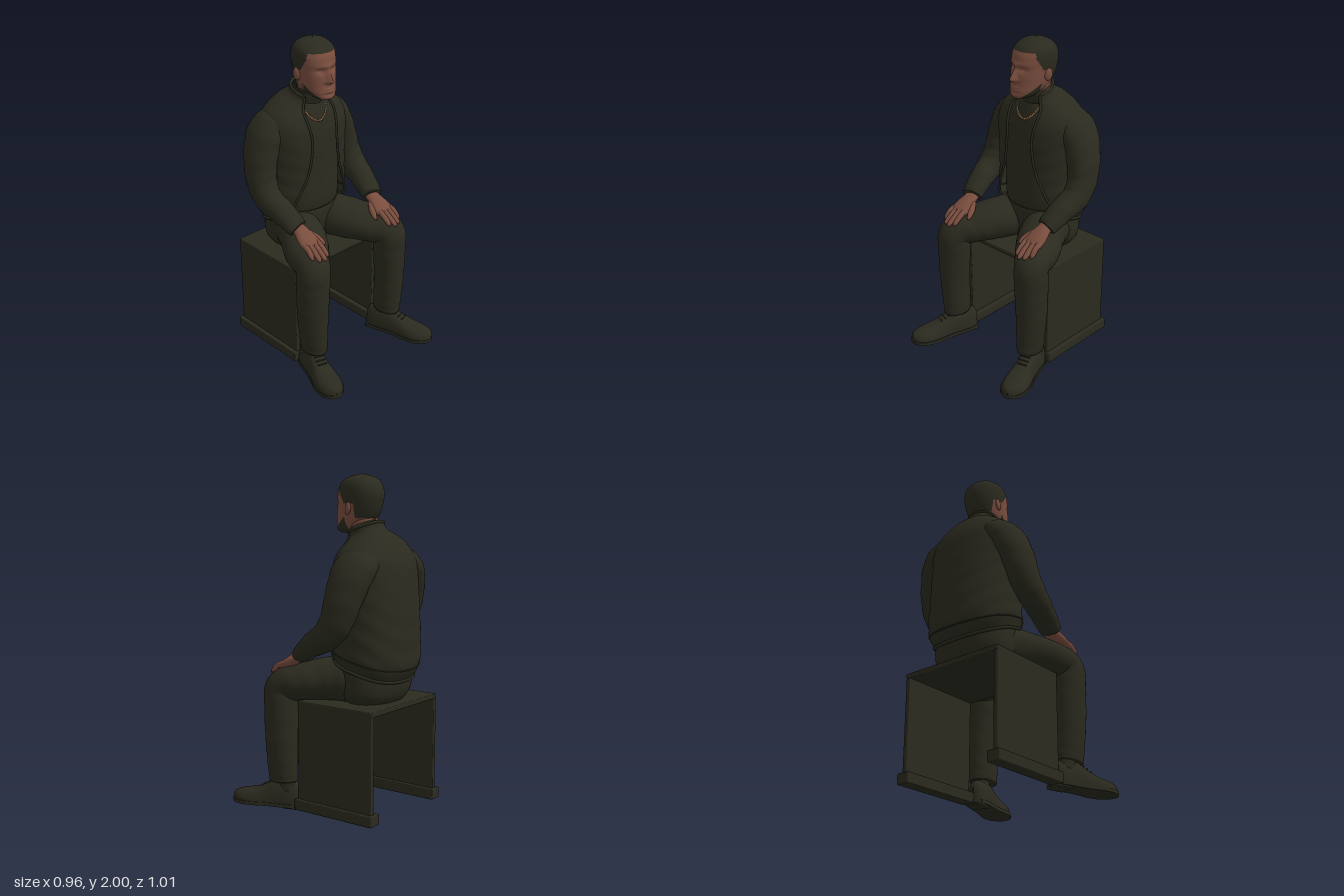
import * as THREE from 'three';
import { mergeGeometries } from 'three/addons/utils/BufferGeometryUtils.js';
import { RoundedBoxGeometry } from 'three/addons/geometries/RoundedBoxGeometry.js';

const mat = (name, color, side = THREE.FrontSide) => {
  const m = new THREE.MeshStandardMaterial({ color, side });
  m.name = name;
  return m;
};

// Smooth interpolation of rows keyed by their first column
function spline(rows) {
  const slope = (i, c) => {
    const a = rows[Math.max(i - 1, 0)], b = rows[Math.min(i + 1, rows.length - 1)];
    return (b[c] - a[c]) / (b[0] - a[0]);
  };
  return k => {
    let i = 0;
    while (i < rows.length - 2 && k > rows[i + 1][0]) i++;
    const a = rows[i], b = rows[i + 1], h = b[0] - a[0];
    const t = Math.min(1, Math.max(0, (k - a[0]) / h)), t2 = t * t, t3 = t2 * t;
    return a.slice(1).map((_, n) => (2 * t3 - 3 * t2 + 1) * a[n + 1] + (t3 - 2 * t2 + t) * h * slope(i, n + 1)
      + (3 * t2 - 2 * t3) * b[n + 1] + (t3 - t2) * h * slope(i + 1, n + 1));
  };
}

// Grid surface; u runs round, v runs along. isSecond picks triangles for material 1
function surface(nu, nv, fn, closed = true, isSecond = null) {
  const cols = closed ? nu : nu + 1, pos = [], first = [], second = [];
  for (let j = 0; j <= nv; j++) for (let i = 0; i < cols; i++) pos.push(...fn(i / nu, j / nv));
  for (let j = 0; j < nv; j++) for (let i = 0; i < nu; i++) {
    const k = (i + 1) % cols, a = j * cols + i, b = j * cols + k, c = b + cols, d = a + cols;
    for (const tri of [[a, b, c], [a, c, d]]) {
      const mid = n => (pos[tri[0] * 3 + n] + pos[tri[1] * 3 + n] + pos[tri[2] * 3 + n]) / 3;
      (isSecond && isSecond(mid(0), mid(1), mid(2)) ? second : first).push(...tri);
    }
  }
  const g = new THREE.BufferGeometry();
  g.setAttribute('position', new THREE.Float32BufferAttribute(pos, 3));
  g.setIndex([...first, ...second]);
  g.addGroup(0, first.length, 0);
  g.addGroup(first.length, second.length, 1);
  g.computeVertexNormals();
  return g;
}

const power = (s, e) => Math.sign(s) * Math.abs(s) ** e;
const oval = (th, front, back, w, e) => [w * power(Math.sin(th), e), (front + back) / 2 + (front - back) / 2 * power(Math.cos(th), e)];

// Upright form from rows of [y, front z, back z, half width], closed at both ends
function upright(rows, e = 0.9, nu = 48, nv = 40) {
  const at = spline(rows), y0 = rows[0][0], y1 = rows[rows.length - 1][0];
  return surface(nu, nv, (u, v) => {
    const t = Math.min(1, Math.max(0, (v * nv - 1) / (nv - 2))), y = y0 + (y1 - y0) * t;
    const [f, b, w] = at(y), cap = v === 0 || v === 1 ? 0.001 : 1, m = (f + b) / 2, h = (f - b) / 2 * cap;
    const [x, z] = oval(u * Math.PI * 2, m + h, m - h, w * cap, e);
    return [x, y, z];
  });
}

// Bent limb from rows of [x, y, z, sideways radius, other radius], with optional cloth folds
function limb(rows, nu = 28, nv = 48, fold = 0, freq = 40) {
  const at = spline(rows.map((r, i) => [i, ...r])), n = rows.length - 1;
  const point = k => new THREE.Vector3(...at(k));
  return surface(nu, nv, (u, v) => {
    const t = Math.min(1, Math.max(0, (v * nv - 1) / (nv - 2))), k = t * n, [, , , ra, rb] = at(k);
    const T = point(Math.min(n, k + 0.05)).sub(point(Math.max(0, k - 0.05))).normalize();
    const side = new THREE.Vector3(1, 0, 0).addScaledVector(T, -T.x).normalize();
    const up = side.clone().cross(T), th = u * Math.PI * 2;
    const s = (v === 0 || v === 1 ? 0.001 : 1) * (1 + fold * Math.sin(t * freq + 2.5 * Math.sin(th + 0.6)));
    return point(k).addScaledVector(side, Math.sin(th) * ra * s).addScaledVector(up, Math.cos(th) * rb * s).toArray();
  });
}

export function createModel() {
  const cloth = mat('dark olive cloth', 0x2a2a1f, THREE.DoubleSide);
  const dark = mat('dark olive solid', 0x2a2a1f);
  const skin = mat('brown skin', 0x794d3e);
  const gold = mat('dull gold', 0x8f6a48);
  const model = new THREE.Group();
  const add = (name, geo, m, parent = model) => {
    const mesh = new THREE.Mesh(geo, m);
    mesh.name = name;
    parent.add(mesh);
    return mesh;
  };
  const box = (name, w, h, d, x, y, z, parent = model) =>
    add(name, new RoundedBoxGeometry(w, h, d, 2, 0.006), dark, parent).position.set(x, y, z);

  // Bench, open at front and back
  box('benchTop', 0.69, 0.03, 0.54, 0, 0.657, -0.207);
  for (const s of [-1, 1]) {
    box('benchSide', 0.03, 0.64, 0.535, s * 0.33, 0.345, -0.207);
    box('benchSkirting', 0.085, 0.065, 0.56, s * 0.327, 0.043, -0.21);
  }

  // Torso
  add('hips', upright([[0.66, -0.14, -0.39, 0.2], [0.72, -0.09, -0.43, 0.25], [0.82, -0.07, -0.45, 0.26],
    [0.9, -0.065, -0.45, 0.25], [0.97, -0.08, -0.43, 0.22]]), dark);
  add('shirt', upright([[0.93, -0.07, -0.42, 0.22], [1.0, -0.062, -0.44, 0.23], [1.2, -0.072, -0.44, 0.24], [1.4, -0.075, -0.42, 0.24],
    [1.5, -0.088, -0.4, 0.22], [1.57, -0.105, -0.37, 0.16], [1.62, -0.12, -0.33, 0.1]]), dark);
  add('turtleneck', limb([[0, 1.55, -0.245, 0.11, 0.11], [0.003, 1.61, -0.22, 0.1, 0.1], [0.007, 1.64, -0.208, 0.104, 0.1],
    [0.01, 1.692, -0.187, 0.098, 0.096], [0.01, 1.697, -0.185, 0.088, 0.086]], 32, 32, 0.008, 30), dark);
  add('neck', limb([[0.01, 1.64, -0.2, 0.08, 0.08], [0.015, 1.72, -0.18, 0.085, 0.085], [0.018, 1.78, -0.17, 0.085, 0.085]], 24, 12), skin);

  // Open jacket, from the hem to the collar
  const jacketAt = spline([[0, -0.04, -0.455, 0.265, 1.0], [0.06, -0.035, -0.49, 0.28, 0.88], [0.12, -0.035, -0.502, 0.288, 0.74],
    [0.35, -0.038, -0.497, 0.285, 0.42], [0.6, -0.038, -0.477, 0.29, 0.3], [0.75, -0.05, -0.455, 0.29, 0.32],
    [0.85, -0.075, -0.41, 0.252, 0.42], [0.92, -0.1, -0.355, 0.175, 0.6], [0.955, -0.1, -0.305, 0.118, 0.8], [1, -0.09, -0.285, 0.103, 1]]);
  const jacketPoint = (u, v) => {
    const [f, b, w, gap] = jacketAt(v), th = gap + (Math.PI * 2 - 2 * gap) * u, front = (1 + Math.cos(th)) / 2;
    const [x, z] = oval(th, f, b, w, 0.88), low = 0.8 + 0.15 * front, high = 1.725 - 0.075 * front;
    const fade = Math.max(0, 1 - v * 1.1), r = 1 + 0.01 * fade * Math.sin(v * 42 + 3 * Math.cos(2 * th));
    return [x * r, low + (high - low) * v, (z + 0.25) * r - 0.25];
  };
  add('jacket', surface(72, 64, jacketPoint, false), cloth);
  const edging = (name, fn, r) => add(name, new THREE.TubeGeometry(new THREE.CatmullRomCurve3(
    Array.from({ length: 33 }, (_, i) => new THREE.Vector3(...fn(i / 32)))), 80, r, 8), dark);
  edging('jacketFrontEdge', t => jacketPoint(0, t), 0.008);
  edging('jacketFrontEdge', t => jacketPoint(1, t), 0.008);
  edging('jacketHem', t => jacketPoint(t, 0), 0.01);
  edging('jacketHemSeam', t => jacketPoint(t, 0.075), 0.004);
  edging('jacketCollar', t => jacketPoint(t, 1), 0.009);

  // Necklace of small beads
  const chain = new THREE.CatmullRomCurve3([[-0.097, 1.605, -0.15], [-0.06, 1.535, -0.1], [-0.005, 1.508, -0.084], [0.05, 1.535, -0.098], [0.09, 1.605, -0.147]]
    .map(p => new THREE.Vector3(...p)));
  add('necklace', mergeGeometries(chain.getSpacedPoints(26).map(p => new THREE.SphereGeometry(0.0075, 8, 6).translate(p.x, p.y, p.z))), gold);

  // Arms, hands and legs, mirrored; shoes point outwards
  const shoeLength = 0.468;
  const shoeAt = spline([[0, 0.004, 0.08], [0.01, 0.032, 0.11], [0.03, 0.05, 0.13], [0.08, 0.062, 0.145], [0.17, 0.064, 0.15], [0.23, 0.068, 0.12],
    [0.31, 0.08, 0.085], [0.37, 0.081, 0.072], [0.42, 0.066, 0.062], [0.45, 0.043, 0.05], [0.463, 0.022, 0.038], [shoeLength, 0.003, 0.025]]);
  const along = t => shoeLength * (1 - Math.cos(t * Math.PI)) / 2;
  for (const s of [-1, 1]) {
    const m = rows => rows.map(([x, ...r]) => [s * x, ...r]);
    add('sleeve', limb(m([[0.13, 1.51, -0.29, 0.07, 0.1], [0.2, 1.49, -0.287, 0.09, 0.13], [0.27, 1.43, -0.28, 0.093, 0.135], [0.322, 1.3, -0.262, 0.09, 0.118],
      [0.345, 1.17, -0.228, 0.085, 0.102], [0.352, 1.08, -0.16, 0.08, 0.088], [0.335, 1.025, -0.06, 0.076, 0.074],
      [0.318, 0.965, 0.03, 0.07, 0.056], [0.312, 0.95, 0.055, 0.066, 0.047]]), 32, 80, 0.012, 60), dark);
    const hand = new THREE.Group();
    hand.name = s > 0 ? 'leftHand' : 'rightHand';
    model.add(hand);
    add('palm', limb(m([[0.31, 0.957, 0.03, 0.042, 0.03], [0.307, 0.937, 0.07, 0.048, 0.032], [0.308, 0.908, 0.12, 0.062, 0.032],
      [0.308, 0.884, 0.165, 0.066, 0.025], [0.308, 0.865, 0.19, 0.056, 0.014]]), 24, 24), skin, hand);
    for (const [x0, x1, z1, y1] of [[0.355, 0.362, 0.24, 0.832], [0.325, 0.331, 0.268, 0.82], [0.294, 0.297, 0.277, 0.818], [0.264, 0.264, 0.258, 0.826]])
      add('finger', limb(m([[x0, 0.897, 0.14, 0.016, 0.016], [(x0 + x1) / 2, 0.88, 0.19, 0.0175, 0.017],
        [x1, y1 + 0.016, z1 - 0.015, 0.015, 0.014], [x1, y1, z1, 0.006, 0.005]]), 12, 14), skin, hand);
    add('thumb', limb(m([[0.272, 0.925, 0.08, 0.018, 0.018], [0.243, 0.9, 0.12, 0.021, 0.019], [0.223, 0.875, 0.16, 0.016, 0.016],
      [0.216, 0.86, 0.185, 0.006, 0.006]]), 12, 14), skin, hand);

    add('trouserLeg', limb(m([[0.1, 0.79, -0.33, 0.1, 0.1], [0.13, 0.8, -0.2, 0.13, 0.132], [0.18, 0.8, -0.06, 0.142, 0.13],
      [0.275, 0.775, 0.09, 0.135, 0.11], [0.322, 0.74, 0.19, 0.105, 0.104], [0.329, 0.62, 0.198, 0.101, 0.104], [0.332, 0.42, 0.197, 0.091, 0.1],
      [0.325, 0.24, 0.195, 0.079, 0.096], [0.322, 0.165, 0.193, 0.071, 0.094]]), 36, 90, 0.008, 75), dark);
    add('ankle', limb(m([[0.322, 0.2, 0.17, 0.05, 0.06], [0.32, 0.1, 0.16, 0.05, 0.06]]), 16, 6), dark);

    const shoe = new THREE.Group();
    shoe.name = s > 0 ? 'leftShoe' : 'rightShoe';
    shoe.position.set(s * 0.285, 0, 0.06);
    shoe.rotation.y = s * 0.3;
    model.add(shoe);
    add('upper', surface(32, 48, (u, v) => {
      const th = u * Math.PI * 2, [w, h] = shoeAt(along(v));
      return [-w * power(Math.sin(th), 0.75), 0.022 + h * Math.max(0, power(Math.cos(th), 0.9)), along(v)];
    }), dark, shoe);
    const edge = Array.from({ length: 41 }, (_, i) => along(i / 40)).map(z => [shoeAt(z)[0] + 0.005, z]);
    const outline = new THREE.Shape([...edge, ...edge.slice().reverse().map(([x, z]) => [-x, z])].map(p => new THREE.Vector2(...p)));
    add('sole', new THREE.ExtrudeGeometry(outline, { depth: 0.022, bevelEnabled: false }).rotateX(Math.PI / 2).translate(0, 0.032, 0), dark, shoe);
    box('heel', 0.11, 0.03, 0.11, 0, 0.015, 0.065, shoe);
    for (const z of [0.215, 0.24, 0.265]) {
      const lace = add('lace', new THREE.CapsuleGeometry(0.005, 0.055, 4, 8).rotateZ(Math.PI / 2), dark, shoe);
      lace.position.set(0, 0.022 + shoeAt(z)[1], z);
    }
  }

  // Head, turned slightly to its right; cropped hair and jaw beard share its surface
  const head = new THREE.Group();
  head.name = 'head';
  head.position.set(0.018, 0, -0.17);
  head.rotation.y = -0.12;
  model.add(head);
  const headAt = spline([[1.655, 0.15, 0.06, 0.025], [1.668, 0.17, 0.03, 0.06], [1.7, 0.172, -0.03, 0.087], [1.74, 0.165, -0.085, 0.102],
    [1.79, 0.162, -0.115, 0.11], [1.84, 0.154, -0.13, 0.115], [1.88, 0.152, -0.135, 0.118], [1.92, 0.141, -0.127, 0.117],
    [1.95, 0.12, -0.11, 0.108], [1.975, 0.085, -0.084, 0.085], [1.99, 0.05, -0.05, 0.055], [2, 0.005, -0.005, 0.004]]);
  const bump = (d, width) => Math.exp(-((d / width) ** 2));
  const hairOrBeard = (x, y, z) => {
    const line = z < -0.03 ? 1.745 : z < 0.04 ? 1.83 : z < 0.085 ? 1.83 + (z - 0.04) * 1.6 : 1.935;
    return y > line || y < 1.664 || (z < 0.15 && z > 0.045 && y < 1.665 + 0.7 * (0.17 - z));
  };
  add('faceAndHair', surface(112, 76, (u, v) => {
    const y = 1.655 + 0.345 * v, [f, b, w] = headAt(y), th = u * Math.PI * 2;
    let [x, z] = oval(th, f, b, w, 0.93);
    if (z > 0.04) {
      const ridge = y < 1.775 ? bump(y - 1.775, 0.014) : bump(y - 1.775, 0.055);
      z += 0.038 * ridge * bump(x, 0.013 + 0.008 * bump(y - 1.772, 0.02));
      z += 0.007 * bump(y - 1.862, 0.014) * bump(x, 0.07);
      z -= 0.014 * bump(y - 1.835, 0.016) * (bump(x - 0.043, 0.024) + bump(x + 0.043, 0.024));
      z += 0.006 * (bump(y - 1.728, 0.007) + bump(y - 1.712, 0.007)) * bump(x, 0.028);
      z -= 0.006 * bump(y - 1.695, 0.009) * bump(x, 0.04);
    }
    return hairOrBeard(x, y, z) && y > 1.74 ? [x * 1.02, y, z * 1.015] : [x, y, z];
  }, true, hairOrBeard), [skin, dark], head);
  for (const s of [-1, 1]) {
    const ear = add('ear', new THREE.SphereGeometry(1, 16, 12).scale(0.013, 0.038, 0.025), skin, head);
    ear.position.set(s * 0.117, 1.8, 0.005);
    ear.rotation.set(-0.15, s * -0.35, 0);
  }
  return model;
}
